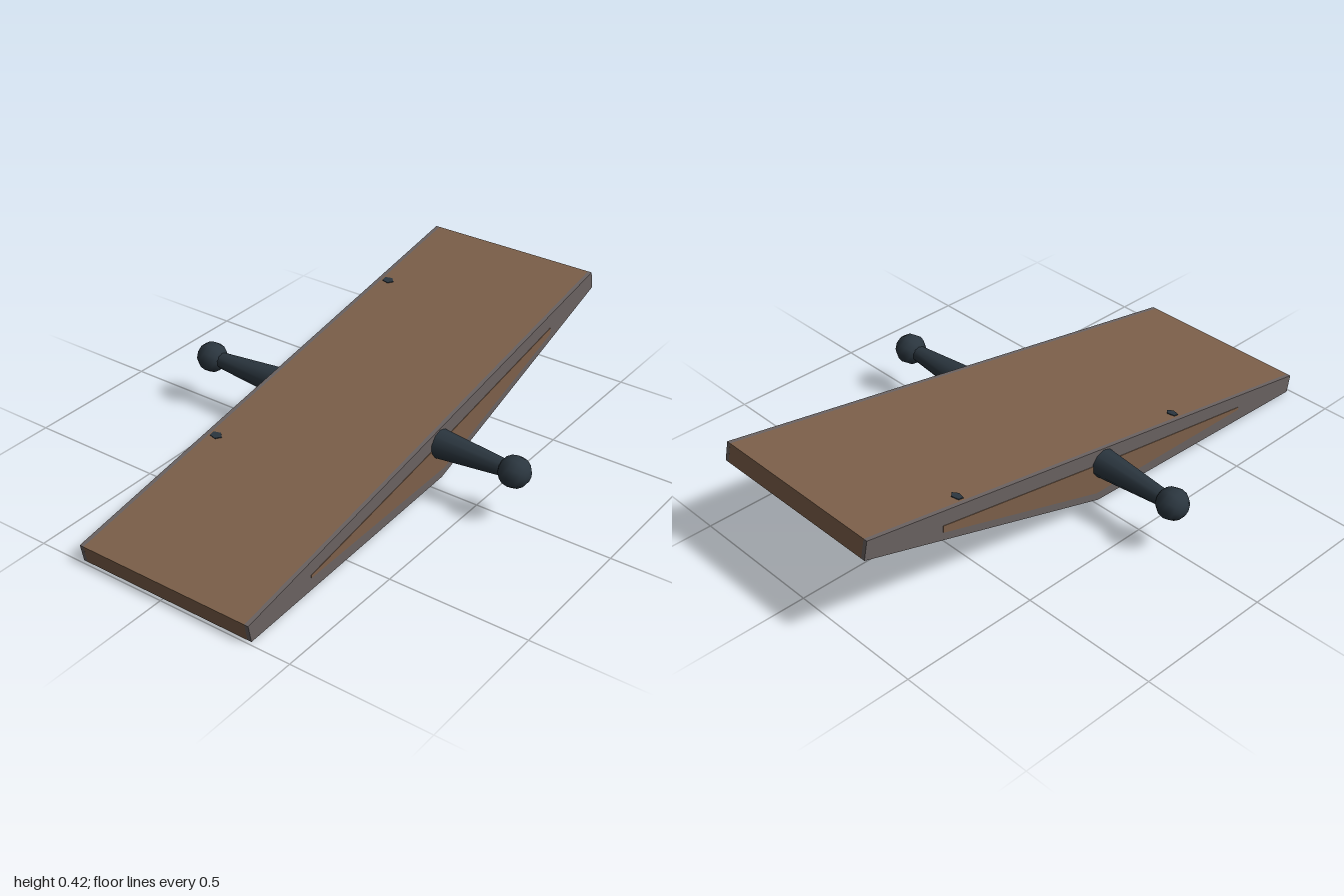
import * as THREE from 'three';

export function createModel() {
  const model = new THREE.Group();
  const mat = (name, color) => Object.assign(new THREE.MeshStandardMaterial({ color }), { name });
  const wood = mat('brown wood', 0x7d604a);
  const trim = mat('grey trim', 0x6a6261);
  const iron = mat('dark iron', 0x2b363f);

  const zBack = -0.332, zFront = 0.348, wall = 0.015;

  const add = (name, geometry, material) => {
    const mesh = new THREE.Mesh(geometry, material);
    mesh.name = name;
    model.add(mesh);
    return mesh;
  };
  // Slab with an outline in x/y, running from z0 to z1
  const slab = (name, points, z0, z1, material) => {
    const shape = new THREE.Shape(points.map(([x, y]) => new THREE.Vector2(x, y)));
    const geo = new THREE.ExtrudeGeometry(shape, { depth: z1 - z0, bevelEnabled: false });
    geo.translate(0, 0, z0);
    return add(name, geo, material);
  };

  // Tilted board, open underneath
  const side = [[-1, 0.068], [-0.988, 0.003], [0.02, 0.045], [1, 0.355], [0.986, 0.42]];
  const panel = [[-0.7, 0.062], [0.03, 0.078], [0.7, 0.29], [0.7, 0.315], [0, 0.188], [-0.7, 0.072]];
  const topY = (x) => 0.068 + (x + 1) * 0.1772;
  const zIn0 = zBack + wall, zIn1 = zFront - wall;

  slab('deck', [[-1, 0.068], [-0.998, 0.058], [0.988, 0.41], [0.986, 0.42]], zIn0, zIn1, wood);
  slab('lowEnd', [[-0.998, 0.058], [-0.988, 0.003], [-0.978, 0.004], [-0.988, 0.06]], zIn0, zIn1, wood);
  slab('highEnd', [[0.978, 0.408], [0.99, 0.352], [1, 0.355], [0.988, 0.41]], zIn0, zIn1, wood);

  // Side walls with inset-looking panels on both faces
  for (const [name, z] of [['front', zFront - wall], ['back', zBack]]) {
    slab(name + 'Wall', side, z, z + wall, trim);
    slab(name + 'Panel', panel, z - 0.002, z + wall + 0.002, wood);
  }

  // Tapered pivot pins with ball ends
  for (const s of [1, -1]) {
    const inner = (s > 0 ? zFront : -zBack) - 0.03, outer = 0.615;
    const pin = add(s > 0 ? 'frontPin' : 'backPin',
      new THREE.CylinderGeometry(0.027, 0.054, outer - inner, 10), iron);
    pin.rotation.x = s * Math.PI / 2;
    pin.position.set(0, 0.188, s * (inner + outer) / 2);
    const ball = add(s > 0 ? 'frontBall' : 'backBall', new THREE.SphereGeometry(0.056, 10, 8), iron);
    ball.rotation.x = s * Math.PI / 2;
    ball.position.set(0, 0.188, s * 0.636);
  }

  // Small bolt tips showing through the deck
  for (const x of [-0.386, 0.605]) {
    const bolt = add('boltTip', new THREE.CylinderGeometry(0.017, 0.017, 0.004, 5), iron);
    bolt.scale.z = 1.4;
    bolt.rotation.z = Math.atan(0.1772);
    bolt.position.set(x, topY(x) + 0.001, -0.29);
  }
  return model;
}
